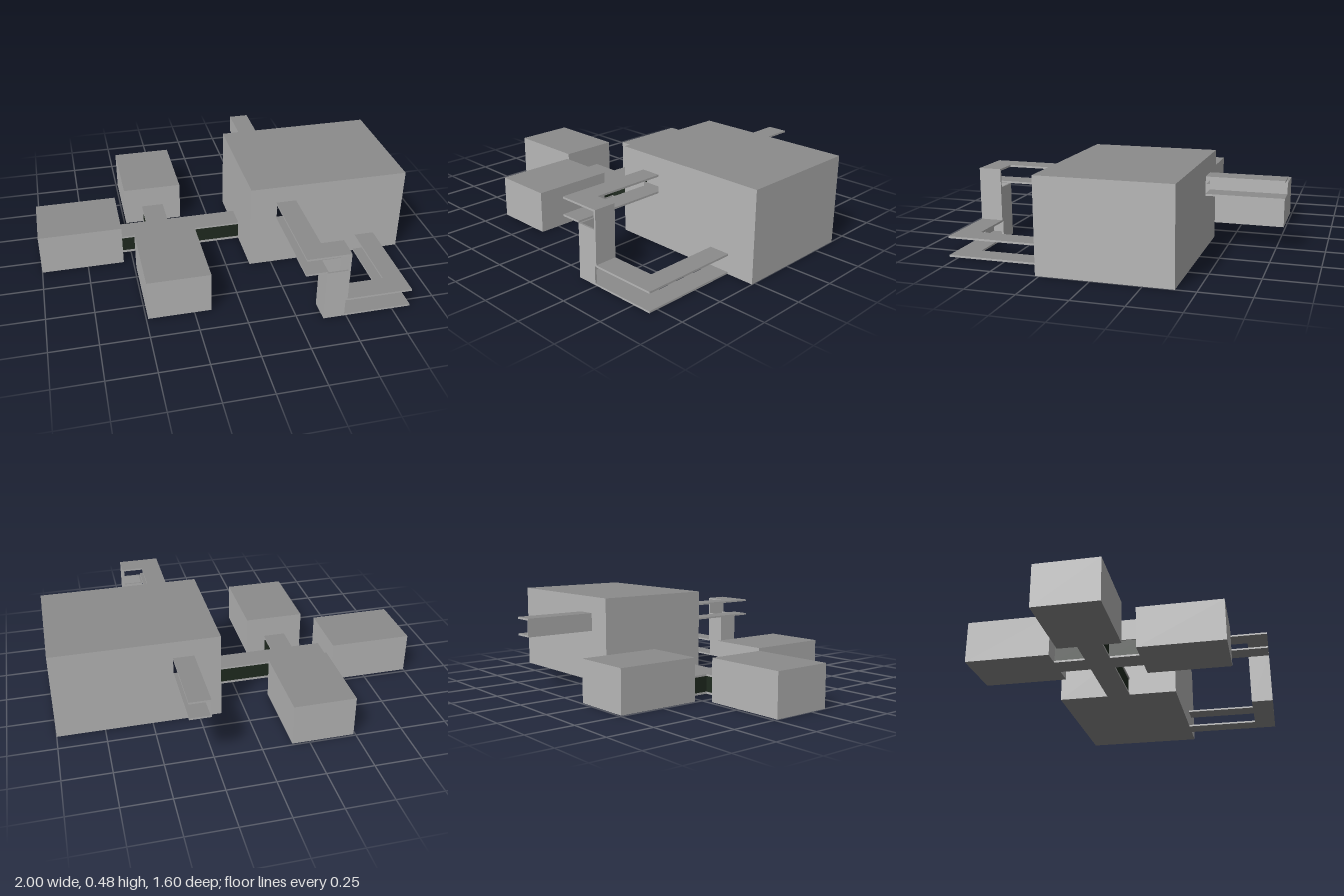
import * as THREE from 'three';

export function createModel() {
  const group = new THREE.Group();
  const mat = (name, color) => {
    const m = new THREE.MeshStandardMaterial({ color });
    m.name = name;
    return m;
  };
  const wall = mat('wall grey', 0xb8b8b8);
  const cap = mat('floor and roof grey', 0x8c8c8c);
  const dark = mat('dark green', 0x202b20);
  const sides = [wall, wall, cap, cap, wall, wall];

  // Box given by its ranges on each axis
  const box = (name, [x0, x1], [y0, y1], [z0, z1], material = sides) => {
    const m = new THREE.Mesh(new THREE.BoxGeometry(x1 - x0, y1 - y0, z1 - z0), material);
    m.position.set((x0 + x1) / 2, (y0 + y1) / 2, (z0 + z1) / 2);
    m.name = name;
    group.add(m);
    return m;
  };

  // Main hall: sides, roof and floor, then end walls pierced by the upper duct
  const g = box('mainHall', [0.13, 1], [0, 0.478], [-0.4, 0.27]).geometry;
  g.setIndex(Array.from(g.index.array.slice(0, 24)));
  g.groups.length = 4;
  const endWall = (name, z, back) => {
    const s = back ? -1 : 1;
    const rect = (P, a, b, c, d) => {
      const p = new P();
      p.moveTo(a * s, c); p.lineTo(b * s, c); p.lineTo(b * s, d); p.lineTo(a * s, d);
      p.closePath();
      return p;
    };
    const shape = rect(THREE.Shape, 0.13, 1, 0, 0.478);
    shape.holes.push(rect(THREE.Path, 0.275, 0.38, 0.295, 0.375));
    const m = new THREE.Mesh(new THREE.ShapeGeometry(shape), wall);
    m.position.z = z;
    if (back) m.rotation.y = Math.PI;
    m.name = name;
    group.add(m);
  };
  endWall('hallFrontWall', 0.27, false);
  endWall('hallBackWall', -0.4, true);

  // Three small rooms
  box('sideRoom', [-1, -0.552], [0, 0.225], [-0.23, 0.1]);
  box('backRoom', [-0.49, -0.16], [0, 0.225], [-0.74, -0.29]);
  box('frontRoom', [-0.49, -0.16], [0, 0.225], [0.16, 0.61]);

  // Cross-shaped corridor: floor and roof plates
  for (const [name, y] of [['corridorFloor', [0, 0.01]], ['corridorRoof', [0.095, 0.105]]]) {
    box(name, [-0.552, 0.13], y, [-0.125, 0.005]);
    box(name + 'BackArm', [-0.39, -0.265], y, [-0.29, -0.125]);
    box(name + 'FrontArm', [-0.39, -0.265], y, [0.005, 0.16]);
  }
  // Dark corridor walls, set in a little and open at the crossing
  const h = [0.01, 0.095];
  for (const z of [-0.119, -0.003]) {
    box('corridorWall', [-0.552, -0.384], h, [z, z + 0.002], dark);
    box('corridorWall', [-0.271, 0.13], h, [z, z + 0.002], dark);
  }
  for (const x of [-0.384, -0.273]) {
    box('armWall', [x, x + 0.002], h, [-0.29, -0.119], dark);
    box('armWall', [x, x + 0.002], h, [-0.001, 0.16], dark);
  }

  // Upper duct at the front: plates with open sides
  box('upperDuctFloor', [0.27, 0.38], [0.285, 0.295], [0.27, 0.8]);
  box('upperDuctRoof', [0.27, 0.38], [0.375, 0.385], [0.27, 0.8]);
  box('upperDuctBendRoof', [0.38, 0.5], [0.375, 0.385], [0.68, 0.8]);

  // Upright shaft
  box('shaftOuterWall', [0.49, 0.5], [0.1, 0.375], [0.68, 0.8]);
  box('shaftInnerWall', [0.38, 0.39], [0.01, 0.285], [0.68, 0.8]);
  box('shaftFrontWall', [0.39, 0.49], [0.01, 0.285], [0.79, 0.8]);
  box('shaftBackWall', [0.39, 0.49], [0.01, 0.285], [0.68, 0.69]);

  // Lower duct leading back into the hall
  box('lowerDuctFloor', [0.38, 0.85], [0, 0.01], [0.68, 0.8]);
  box('lowerDuctRoof', [0.5, 0.85], [0.097, 0.107], [0.68, 0.8]);
  box('lowerDuctArmFloor', [0.74, 0.85], [0, 0.01], [0.27, 0.68]);
  box('lowerDuctArmRoof', [0.74, 0.85], [0.097, 0.107], [0.27, 0.68]);

  // Back duct, walled on one side
  box('backDuctFloor', [0.27, 0.38], [0.285, 0.295], [-0.8, -0.4]);
  box('backDuctRoof', [0.27, 0.38], [0.375, 0.385], [-0.8, -0.4]);
  box('backDuctWall', [0.27, 0.275], [0.295, 0.375], [-0.8, -0.4]);

  return group;
}
